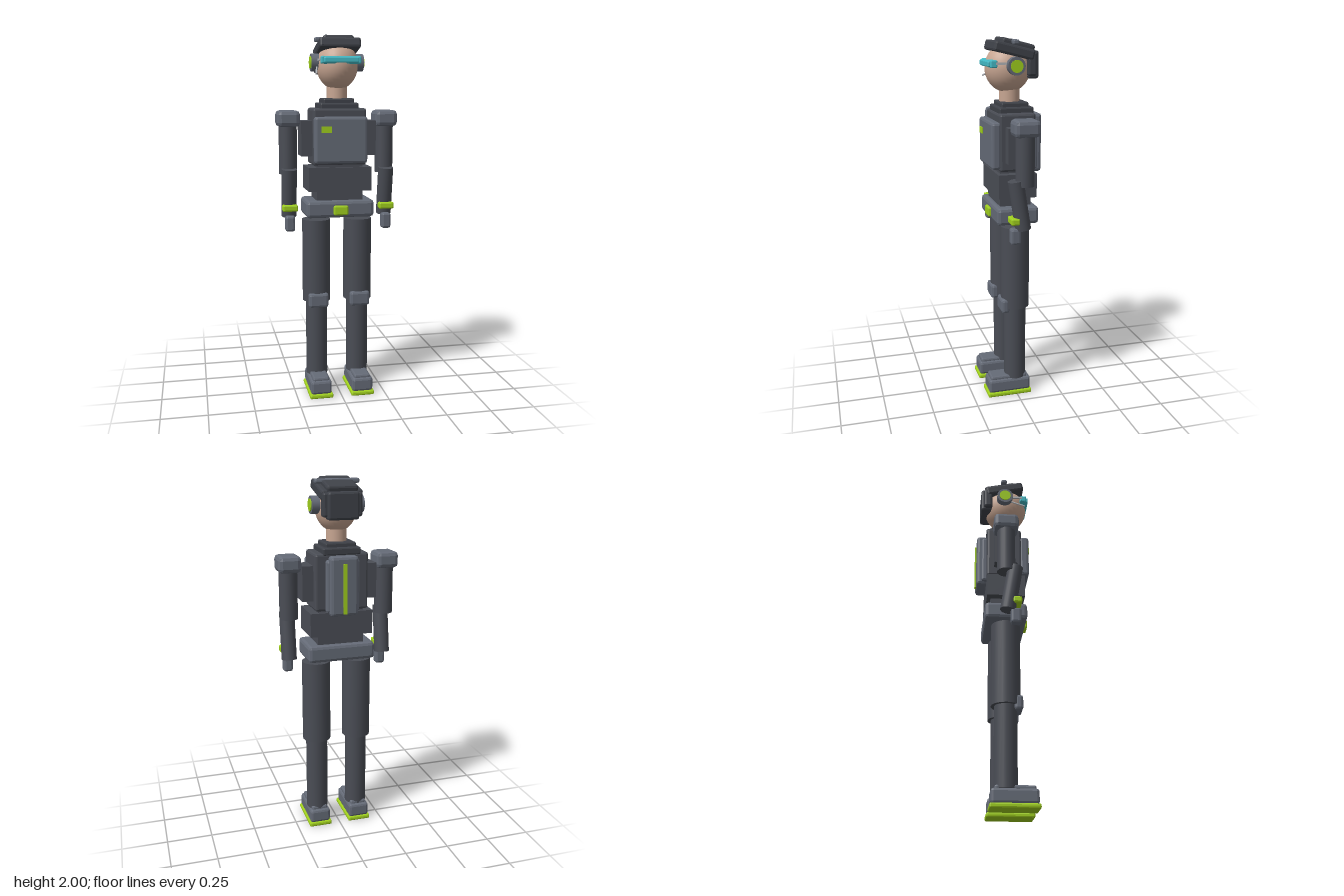
import * as THREE from 'three';
import { RoundedBoxGeometry } from 'three/addons/geometries/RoundedBoxGeometry.js';

const mat = (name, color) => {
  const m = new THREE.MeshStandardMaterial({ color });
  m.name = name;
  return m;
};

export function createModel() {
  const cloth = mat('dark cloth', 0x4a4d55);
  const armor = mat('grey armor', 0x656b77);
  const hairMat = mat('charcoal hair', 0x3f4249);
  const lime = mat('lime accent', 0xa0d01e);
  const cyan = mat('cyan visor', 0x45bcc8);
  const skin = mat('skin', 0xc8a692);
  const metal = mat('pale metal', 0xb4b7bb);

  const root = new THREE.Group();
  root.name = 'figure';

  const add = (name, geo, material, parent = root) => {
    const m = new THREE.Mesh(geo, material);
    m.name = name;
    parent.add(m);
    return m;
  };
  // chamfered box given by its extents on each axis
  const box = (name, material, [x0, x1], [y0, y1], [z0, z1], bevel = 0, parent = root) => {
    const s = [x1 - x0, y1 - y0, z1 - z0];
    const g = bevel ? new RoundedBoxGeometry(...s, 1, bevel) : new THREE.BoxGeometry(...s);
    if (bevel) g.computeVertexNormals();
    const m = add(name, g, material, parent);
    m.position.set((x0 + x1) / 2, (y0 + y1) / 2, (z0 + z1) / 2);
    return m;
  };
  // cylinder between two points
  const rod = (name, material, a, b, r, sides = 20, parent = root) => {
    const p = new THREE.Vector3(...a), q = new THREE.Vector3(...b);
    const d = q.clone().sub(p);
    const m = add(name, new THREE.CylinderGeometry(r, r, d.length(), sides), material, parent);
    m.position.copy(p).add(q).multiplyScalar(0.5);
    m.quaternion.setFromUnitVectors(new THREE.Vector3(0, 1, 0), d.normalize());
    return m;
  };
  const wide = (w, c = 0) => [c - w, c + w];

  // legs, arms and earphones, one set per side
  for (const side of [-1, 1]) {
    const label = side > 0 ? 'left' : 'right';
    const leg = new THREE.Group();
    leg.name = label + 'Leg';
    root.add(leg);
    const lx = side * 0.118;
    box('sole', lime, wide(0.066, lx), [0, 0.026], [-0.085, 0.17], 0.008, leg);
    box('shoe', armor, wide(0.059, lx), [0.022, 0.1], [-0.079, 0.163], 0.014, leg);
    box('shoeUpper', armor, wide(0.046, lx), [0.09, 0.118], [-0.06, 0.15], 0.01, leg);
    rod('shin', cloth, [lx, 0.1, 0], [lx, 0.56, 0], 0.061, 20, leg);
    rod('thigh', cloth, [lx, 0.535, 0], [lx, 1.0, 0], 0.079, 20, leg);
    box('kneePad', armor, wide(0.056, lx), [0.505, 0.587], [0.042, 0.088], 0.014, leg);

    const arm = new THREE.Group();
    arm.name = label + 'Arm';
    root.add(arm);
    const ax = side * 0.271;
    box('shoulderPad', armor, wide(0.062, ax), [1.512, 1.6], [-0.08, 0.057], 0.022, arm);
    rod('upperArm', cloth, [ax, 1.255, -0.01], [ax, 1.53, -0.01], 0.05, 20, arm);
    rod('forearm', cloth, [ax, 1.285, 0.04], [ax, 1.022, -0.002], 0.042, 20, arm);
    box('wristBand', lime, wide(0.042, ax), [1.054, 1.09], [0.025, 0.072], 0.008, arm);
    box('hand', armor, wide(0.026, ax), [0.943, 1.03], [0.014, 0.07], 0.012, arm);

    const ear = new THREE.Group();
    ear.name = label + 'Earphone';
    root.add(ear);
    rod('earCup', armor, [side * 0.1, 1.855, -0.003], [side * 0.143, 1.855, -0.003], 0.047, 24, ear);
    rod('earLight', lime, [side * 0.14, 1.855, -0.003], [side * 0.148, 1.855, -0.003], 0.033, 24, ear);
    box('visorTemple', metal, wide(0.005, side * 0.108), [1.862, 1.873], [0.01, 0.1], 0, ear);
  }

  // hips and belt
  box('hips', armor, wide(0.188), [1.02, 1.114], [-0.117, 0.115], 0.018);
  box('buckle', lime, wide(0.04), [1.035, 1.088], [0.1, 0.13], 0.008);

  // torso
  box('abdomenCore', cloth, wide(0.128), [1.11, 1.325], [-0.085, 0.085]);
  box('abdomen', cloth, wide(0.174), [1.165, 1.295], [-0.106, 0.104]);
  box('chestCore', cloth, wide(0.147), [1.305, 1.612], [-0.107, 0.09], 0.012);
  box('chestSides', cloth, wide(0.207), [1.355, 1.545], [-0.068, 0.06]);
  box('chestPlate', armor, wide(0.145), [1.318, 1.568], [0.08, 0.133], 0.014);
  box('chestBadge', lime, [-0.11, -0.053], [1.485, 1.518], [0.13, 0.139]);

  // backpack
  box('backpackBase', armor, wide(0.092), [1.3, 1.58], [-0.135, -0.09], 0.012);
  box('backpack', armor, wide(0.078), [1.284, 1.602], [-0.162, -0.1], 0.016);
  box('backpackLight', lime, wide(0.01), [1.297, 1.565], [-0.17, -0.161]);

  // collar and neck
  box('collarLower', hairMat, wide(0.105), [1.6, 1.641], [-0.108, 0.082], 0.008);
  box('collarUpper', hairMat, wide(0.085), [1.63, 1.665], [-0.085, 0.064], 0.008);
  rod('neck', skin, [0, 1.65, 0], [0, 1.77, 0], 0.055, 24);

  // head
  const head = add('head', new THREE.SphereGeometry(1, 32, 20), skin);
  head.scale.set(0.112, 0.13, 0.124);
  head.position.set(0, 1.84, 0.008);

  // hair: tilted two-tier cap and a block behind
  const cap = new THREE.Group();
  cap.name = 'hairCap';
  cap.position.set(0, 1.938, -0.003);
  cap.rotation.x = -0.24;
  root.add(cap);
  box('hairLower', hairMat, wide(0.112), [-0.033, 0.022], [-0.112, 0.112], 0.012, cap);
  box('hairUpper', hairMat, wide(0.084), [0, 0.047], [-0.112, 0.072], 0.012, cap);
  box('hairBack', hairMat, wide(0.108), [1.8, 1.925], [-0.125, -0.075], 0.012);
  box('hairBackOuter', hairMat, wide(0.085), [1.786, 1.93], [-0.141, -0.08], 0.012);
  box('headBand', armor, wide(0.122), [1.963, 1.988], [-0.024, 0.01], 0.008);

  // visor and microphone
  box('visor', cyan, wide(0.108), [1.845, 1.885], [0.09, 0.128], 0.007);
  box('visorFront', cyan, wide(0.094), [1.85, 1.88], [0.11, 0.139], 0.006);
  rod('microphone', metal, [-0.116, 1.83, 0.035], [-0.133, 1.792, 0.115], 0.005, 8);

  return root;
}
